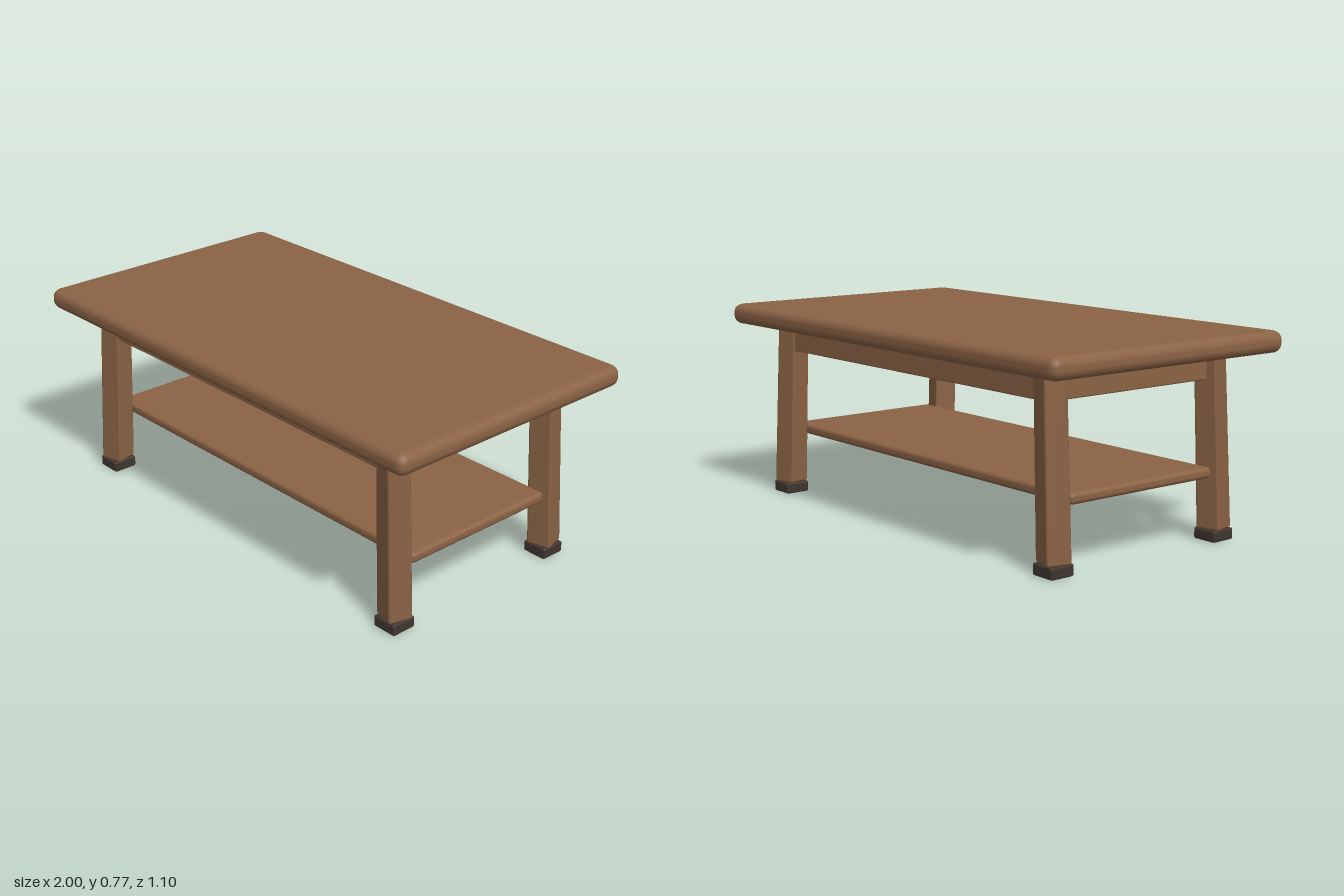
import * as THREE from 'three';
import { RoundedBoxGeometry } from 'three/addons/geometries/RoundedBoxGeometry.js';

export function createModel() {
  const wood = new THREE.MeshStandardMaterial({ name: 'wood', color: 0x8b6345 });
  const rubber = new THREE.MeshStandardMaterial({ name: 'dark foot', color: 0x40352f });
  const table = new THREE.Group();
  table.name = 'coffeeTable';

  // Softly rounded board centred at (x, y, z)
  function board(name, [w, h, d], [x, y, z], radius, material = wood) {
    const mesh = new THREE.Mesh(new RoundedBoxGeometry(w, h, d, 2, radius), material);
    mesh.name = name;
    mesh.position.set(x, y, z);
    table.add(mesh);
  }

  // Leg: turned slightly about its axis, then tapered and splayed outwards
  const legBottom = 0.043, legTop = 0.71;
  function legGeometry(sx, sz) {
    const height = legTop - legBottom;
    const geometry = new RoundedBoxGeometry(0.094, height, 0.094, 2, 0.008);
    geometry.rotateY(-0.27 * sx * sz);
    const p = geometry.attributes.position;
    for (let i = 0; i < p.count; i++) {
      const t = p.getY(i) / height + 0.5; // 0 at the floor, 1 at the top
      const scale = THREE.MathUtils.lerp(1, 0.93, t);
      p.setXYZ(i,
        p.getX(i) * scale + sx * THREE.MathUtils.lerp(0.823, 0.79, t),
        p.getY(i) + (legTop + legBottom) / 2,
        p.getZ(i) * scale + sz * THREE.MathUtils.lerp(0.389, 0.382, t));
    }
    return geometry;
  }

  // Tabletop and lower shelf
  board('tabletop', [2, 0.082, 1.1], [0, 0.734, 0], 0.036);
  board('shelf', [1.71, 0.042, 0.68], [0, 0.26, 0], 0.016);

  // Aprons under the top
  for (const side of [-1, 1]) {
    board('longApron', [1.66, 0.115, 0.045], [0, 0.651, side * 0.387], 0.005);
    board('shortApron', [0.045, 0.115, 0.76], [side * 0.79, 0.651, 0], 0.005);
  }

  // Legs with their feet
  for (const sx of [-1, 1]) {
    for (const sz of [-1, 1]) {
      const leg = new THREE.Mesh(legGeometry(sx, sz), wood);
      leg.name = 'leg';
      table.add(leg);
      board('foot', [0.102, 0.044, 0.102], [sx * 0.822, 0.022, sz * 0.39], 0.008, rubber);
    }
  }
  return table;
}
